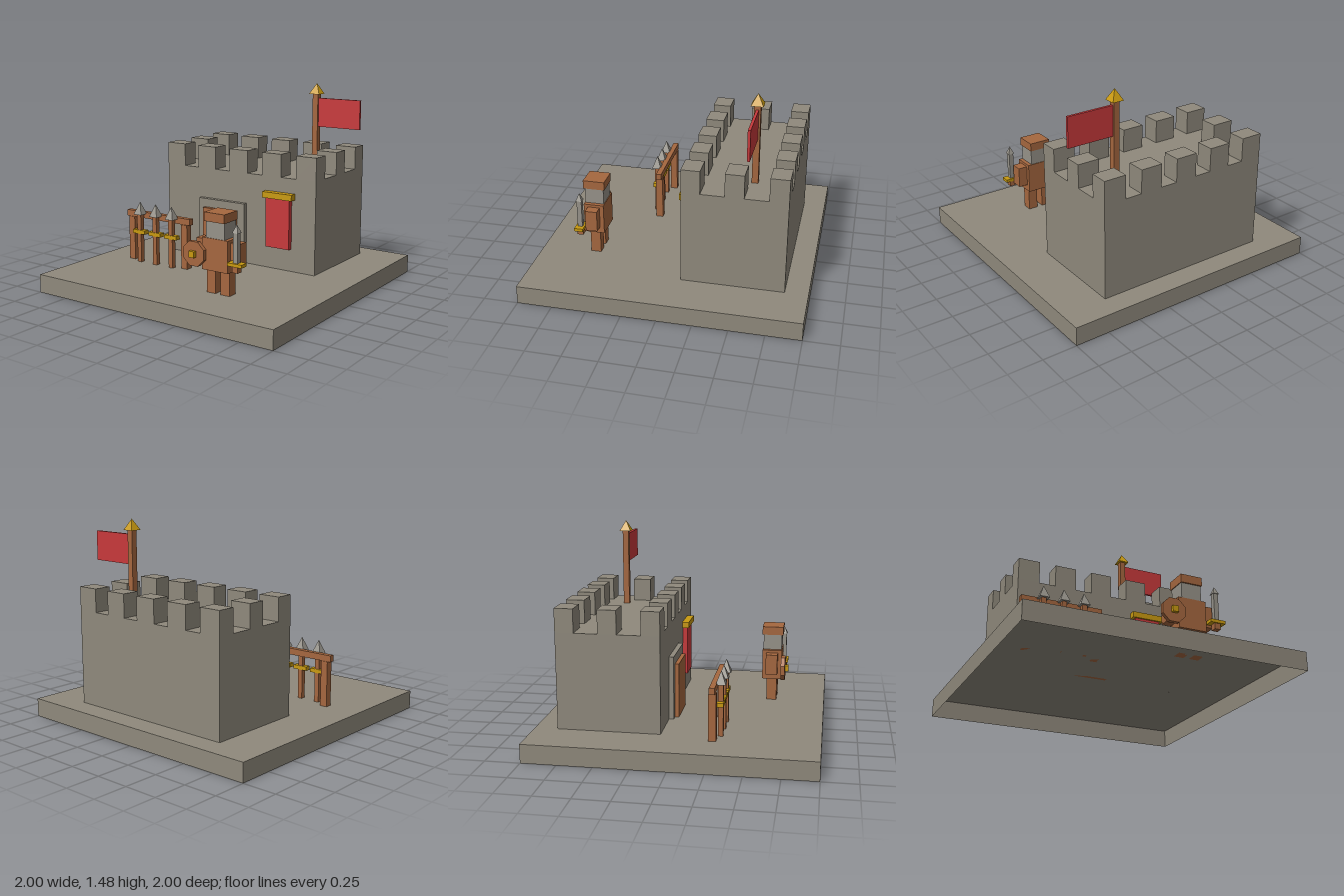
import * as THREE from 'three';

const material = (name, color, side = THREE.FrontSide) => {
  const m = new THREE.MeshStandardMaterial({ color, side });
  m.name = name;
  return m;
};

export function createModel() {
  const stone = material('stone', 0x8f897c, THREE.DoubleSide);
  const wood = material('wood', 0xa5673f);
  const metal = material('metal', 0x969289);
  const gold = material('gold', 0xc99a10);
  const red = material('red cloth', 0xc8393b);

  const group = (name, parent) => {
    const g = new THREE.Group();
    g.name = name;
    if (parent) parent.add(g);
    return g;
  };
  const add = (parent, name, geometry, mat, x, y, z) => {
    const mesh = new THREE.Mesh(geometry, mat);
    mesh.name = name;
    mesh.position.set(x, y, z);
    parent.add(mesh);
    return mesh;
  };
  // box given by its lowest and highest corner
  const box = (parent, name, mat, [x0, y0, z0], [x1, y1, z1]) =>
    add(parent, name, new THREE.BoxGeometry(x1 - x0, y1 - y0, z1 - z0), mat,
      (x0 + x1) / 2, (y0 + y1) / 2, (z0 + z1) / 2);
  // square pyramid standing on y
  const pyramid = (parent, name, mat, width, height, x, y, z) => {
    const geo = new THREE.ConeGeometry(width / Math.SQRT2, height, 4).toNonIndexed();
    geo.rotateY(Math.PI / 4);
    geo.computeVertexNormals();
    return add(parent, name, geo, mat, x, y + height / 2, z);
  };

  const model = group('castle diorama');
  const floor = 0.135;

  // base slab, hollow and open underneath
  const slab = new THREE.BoxGeometry(2, floor, 2);
  const index = Array.from(slab.index.array);
  index.splice(18, 6);
  slab.setIndex(index);
  slab.clearGroups();
  add(model, 'base', slab, stone, 0, floor / 2, 0);

  // keep with battlements
  const keep = group('keep', model);
  box(keep, 'walls', stone, [-0.665, floor, -0.835], [0.665, 0.83, -0.1]);
  for (let i = 0; i < 5; i++) {
    for (let j = 0; j < 3; j++) {
      if (j === 1 && i > 0 && i < 4) continue;
      const x = -0.5825 + i * 0.29125, z = -0.7685 + j * 0.301;
      box(keep, 'merlon', stone, [x - 0.0825, 0.83, z - 0.0665], [x + 0.0825, 1, z + 0.0665]);
    }
  }

  // gate
  const gate = group('gate', model);
  box(gate, 'gateFrame', stone, [-0.34, floor, -0.1], [0.075, 0.6, -0.065]);
  box(gate, 'door', wood, [-0.285, floor, -0.065], [0.013, 0.535, -0.036]);

  // hanging banner
  const banner = group('wallBanner', model);
  box(banner, 'bannerRod', gold, [0.243, 0.675, -0.1], [0.493, 0.72, -0.049]);
  box(banner, 'bannerCloth', red, [0.268, 0.305, -0.1], [0.468, 0.675, -0.062]);

  // flag
  const flag = group('flag', model);
  box(flag, 'flagPole', wood, [0.376, 0.83, -0.59], [0.42, 1.405, -0.545]);
  box(flag, 'flagCloth', red, [0.42, 1.155, -0.577], [0.765, 1.372, -0.558]);
  pyramid(flag, 'flagFinial', gold, 0.086, 0.08, 0.398, 1.402, -0.567);

  // weapon rack with three spears
  const rack = group('weaponRack', model);
  box(rack, 'rackRail', wood, [-0.767, 0.47, 0.247], [-0.169, 0.517, 0.287]);
  for (const x of [-0.718, -0.218])
    box(rack, 'rackPost', wood, [x - 0.027, floor, 0.241], [x + 0.027, 0.47, 0.294]);
  for (const x of [-0.618, -0.468, -0.318]) {
    const spear = group('spear', rack);
    box(spear, 'spearShaft', wood, [x - 0.018, floor, 0.294], [x + 0.018, 0.505, 0.33]);
    box(spear, 'spearGuard', gold, [x - 0.057, 0.355, 0.289], [x + 0.057, 0.384, 0.335]);
    pyramid(spear, 'spearTip', metal, 0.072, 0.095, x, 0.505, 0.312);
  }

  // guard
  const guard = group('guard', model), cx = 0.332;
  for (const s of [-1, 1]) {
    const leg = cx + s * 0.0575, arm = cx + s * 0.1405;
    box(guard, 'leg', wood, [leg - 0.036, floor, 0.56], [leg + 0.036, 0.305, 0.635]);
    box(guard, 'arm', wood, [arm - 0.035, 0.355, 0.555], [arm + 0.035, 0.51, 0.642]);
  }
  box(guard, 'torso', wood, [cx - 0.106, 0.305, 0.525], [cx + 0.106, 0.53, 0.673]);
  box(guard, 'head', metal, [cx - 0.076, 0.53, 0.53], [cx + 0.076, 0.645, 0.668]);
  box(guard, 'helmet', wood, [cx - 0.082, 0.645, 0.521], [cx + 0.082, 0.707, 0.679]);

  // octagonal shield
  const shield = group('shield', guard);
  const disc = new THREE.CylinderGeometry(0.093, 0.093, 0.03, 8).toNonIndexed();
  disc.rotateY(Math.PI / 8);
  disc.rotateX(Math.PI / 2);
  disc.computeVertexNormals();
  add(shield, 'shieldDisc', disc, wood, 0.175, 0.41, 0.687);
  box(shield, 'shieldBoss', gold, [0.153, 0.388, 0.7], [0.197, 0.432, 0.727]);

  // sword
  const sword = group('sword', guard);
  box(sword, 'swordHilt', wood, [0.49, 0.33, 0.653], [0.535, 0.373, 0.698]);
  box(sword, 'swordGuard', gold, [0.455, 0.373, 0.644], [0.57, 0.396, 0.708]);
  box(sword, 'swordBlade', metal, [0.495, 0.396, 0.658], [0.53, 0.6, 0.693]);
  pyramid(sword, 'swordTip', metal, 0.046, 0.056, 0.5125, 0.6, 0.6755);

  return model;
}
